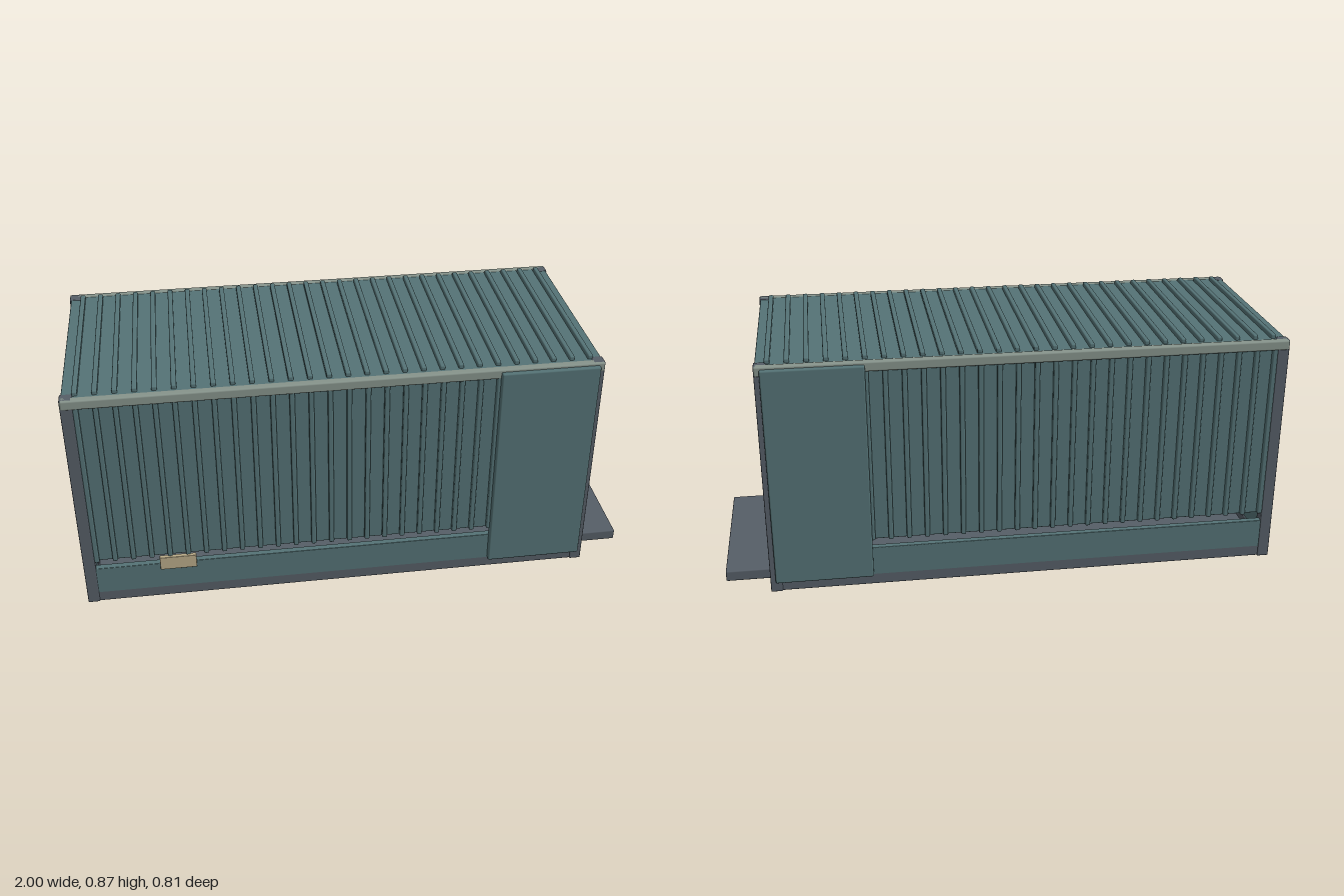
import * as THREE from 'three';
import { RoundedBoxGeometry } from 'three/addons/geometries/RoundedBoxGeometry.js';

const teal = new THREE.MeshStandardMaterial({ color: 0x557376 });
const steel = new THREE.MeshStandardMaterial({ color: 0x565e67 });
const pale = new THREE.MeshStandardMaterial({ color: 0x87948c });
const tan = new THREE.MeshStandardMaterial({ color: 0xb9ab89 });

// Softly bevelled box given by its extents on each axis
function block(parent, name, material, [x0, x1], [y0, y1], [z0, z1], bevel = 0.003) {
  const size = [x1 - x0, y1 - y0, z1 - z0];
  const radius = Math.min(bevel, Math.min(...size) * 0.3);
  const mesh = new THREE.Mesh(new RoundedBoxGeometry(...size, 2, radius), material);
  mesh.position.set((x0 + x1) / 2, (y0 + y1) / 2, (z0 + z1) / 2);
  mesh.name = name;
  parent.add(mesh);
  return mesh;
}

// Extents along z for a part on the given side
const onSide = (side, inner, outer) => (side > 0 ? [inner, outer] : [-outer, -inner]);

export function createModel() {
  const model = new THREE.Group();
  model.name = 'shippingContainer';

  const ribCount = 28;
  const ribX = (i) => -0.95 + i * 0.0646;

  // Floor, end sills and loading ramp
  block(model, 'floor', steel, [-0.98, 0.82], [0.004, 0.045], [-0.37, 0.37]);
  block(model, 'openEndSill', steel, [0.8, 0.835], [0.003, 0.075], [-0.35, 0.35]);
  block(model, 'closedEndSill', steel, [-0.995, -0.96], [0.003, 0.075], [-0.35, 0.35]);
  block(model, 'ramp', steel, [0.82, 1], [0.005, 0.045], [-0.298, 0.298], 0.005);

  // Closed end and headers
  block(model, 'endWall', teal, [-0.99, -0.965], [0.07, 0.835], [-0.35, 0.35]);
  block(model, 'closedEndHeader', teal, [-0.995, -0.96], [0.83, 0.853], [-0.36, 0.36]);
  block(model, 'openEndHeader', teal, [0.8, 0.835], [0.83, 0.853], [-0.36, 0.36]);

  // Ribbed roof
  const roof = new THREE.Group();
  roof.name = 'roof';
  model.add(roof);
  block(roof, 'roofPanel', teal, [-0.985, 0.825], [0.835, 0.853], [-0.37, 0.37]);
  for (let i = 0; i < ribCount; i++) {
    const x = ribX(i);
    block(roof, 'roofRib', teal, [x - 0.009, x + 0.009], [0.845, 0.868], [-0.355, 0.355], 0.005);
  }

  // Both long sides
  for (const side of [1, -1]) {
    const wall = new THREE.Group();
    wall.name = side > 0 ? 'frontWall' : 'backWall';
    model.add(wall);

    block(wall, 'bottomRail', steel, [-0.96, 0.8], [0.003, 0.045], onSide(side, 0.34, 0.384));
    block(wall, 'topRail', pale, [-0.998, 0.838], [0.82, 0.855], onSide(side, 0.362, 0.39), 0.006);
    block(wall, 'lowerPanel', teal, [-0.965, 0.81], [0.04, 0.15], onSide(side, 0.36, 0.384));

    // Ribbed panel, leaving a slot above the lower panel
    block(wall, 'wallPanel', teal, [-0.965, 0.81], [0.18, 0.828], onSide(side, 0.362, 0.374));
    for (let i = 0; i < ribCount; i++) {
      const x = ribX(i);
      block(wall, 'wallRib', teal, [x - 0.009, x + 0.009], [0.18, 0.825], onSide(side, 0.35, 0.388), 0.005);
    }

    // Smooth panel beside the opening
    block(wall, 'sidePanel', teal, [0.474, 0.82], [0.043, 0.846], onSide(side, 0.376, 0.405), 0.006);

    // Corner posts
    for (const x of [-1, 0.797]) {
      block(wall, 'cornerPost', steel, [x, x + 0.042], [0, 0.855], onSide(side, 0.342, 0.386), 0.004);
    }
  }

  // Small plate on the front wall
  block(model, 'plate', tan, [-0.73, -0.6], [0.13, 0.183], [0.38, 0.396], 0.002);

  return model;
}
